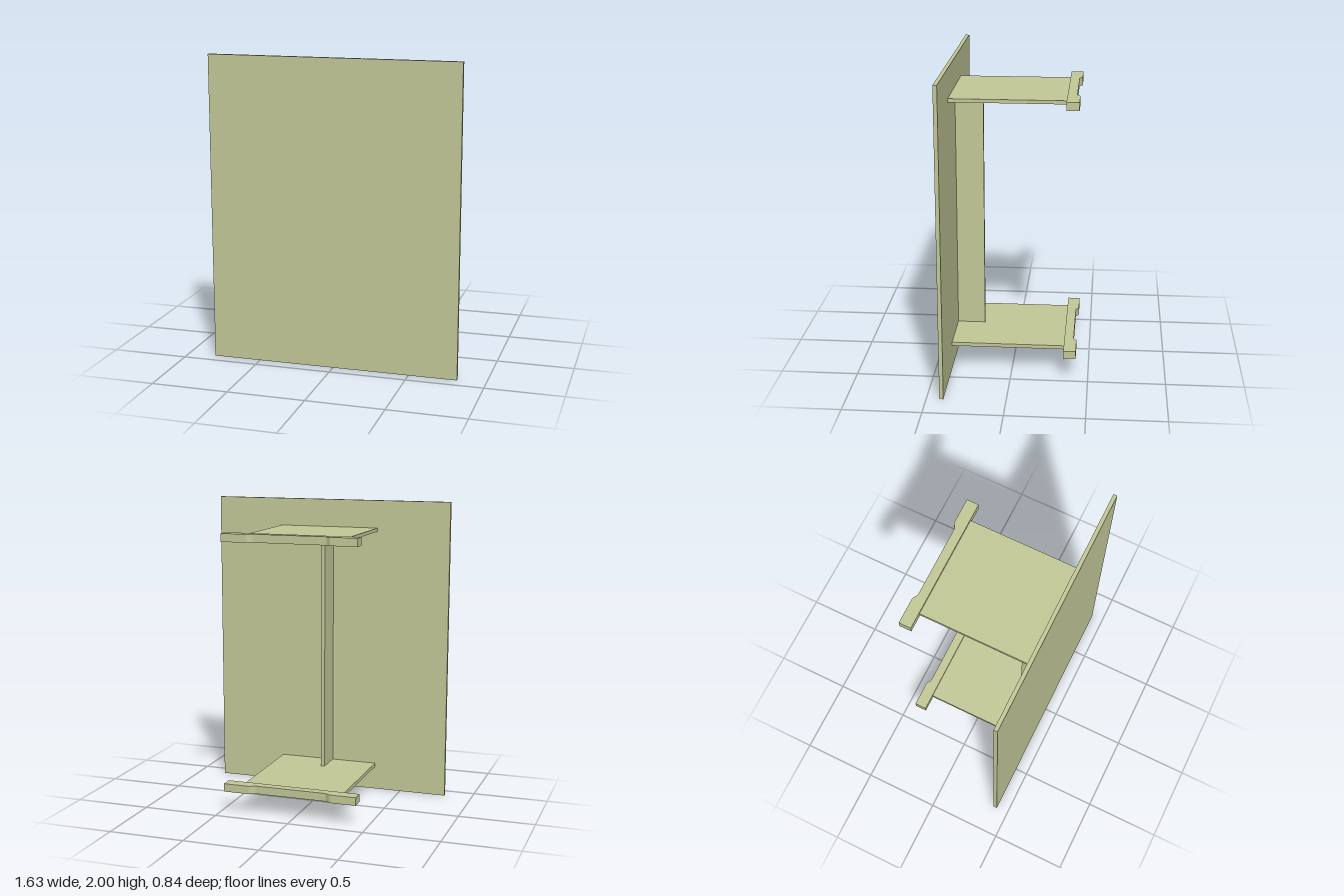
import * as THREE from 'three';

const material = new THREE.MeshStandardMaterial({ color: 0xc4c998, flatShading: true });

// Box given by its limits on each axis
function slab(name, [x0, x1], [y0, y1], [z0, z1]) {
  const mesh = new THREE.Mesh(new THREE.BoxGeometry(x1 - x0, y1 - y0, z1 - z0), material);
  mesh.position.set((x0 + x1) / 2, (y0 + y1) / 2, (z0 + z1) / 2);
  mesh.name = name;
  return mesh;
}

// Bar with a shallow recess along its rear edge, drawn as (x, -z) and extruded upwards
function handle(name, bottom, height) {
  const s = new THREE.Shape();
  s.moveTo(-0.43, 0.34);
  s.lineTo(0.47, 0.34);
  s.lineTo(0.47, 0.42);
  s.lineTo(0.3, 0.42);
  s.bezierCurveTo(0.283, 0.42, 0.275, 0.4, 0.255, 0.4);
  s.lineTo(-0.215, 0.4);
  s.bezierCurveTo(-0.235, 0.4, -0.243, 0.42, -0.26, 0.42);
  s.lineTo(-0.43, 0.42);
  s.closePath();
  const geometry = new THREE.ExtrudeGeometry(s, { depth: height, bevelEnabled: false, curveSegments: 6 });
  geometry.rotateX(-Math.PI / 2);
  const mesh = new THREE.Mesh(geometry, material);
  mesh.position.y = bottom;
  mesh.name = name;
  return mesh;
}

export function createModel() {
  const model = new THREE.Group();
  model.name = 'panelWithBrackets';

  // Large upright front panel
  model.add(slab('frontPanel', [-0.815, 0.815], [0, 2], [0.393, 0.418]));

  // Upright stiffening rib between the shelves
  model.add(slab('rib', [-0.011, 0.014], [0.183, 1.796], [0.21, 0.393]));

  // Two shelves, each ending in a handle bar
  const levels = [
    { label: 'lower', shelf: [0.158, 0.183], bar: 0.142 },
    { label: 'upper', shelf: [1.793, 1.816], bar: 1.779 },
  ];
  for (const { label, shelf, bar } of levels) {
    model.add(slab(label + 'Shelf', [-0.32, 0.36], shelf, [-0.342, 0.393]));
    model.add(handle(label + 'Handle', bar, 0.053));
  }
  return model;
}
